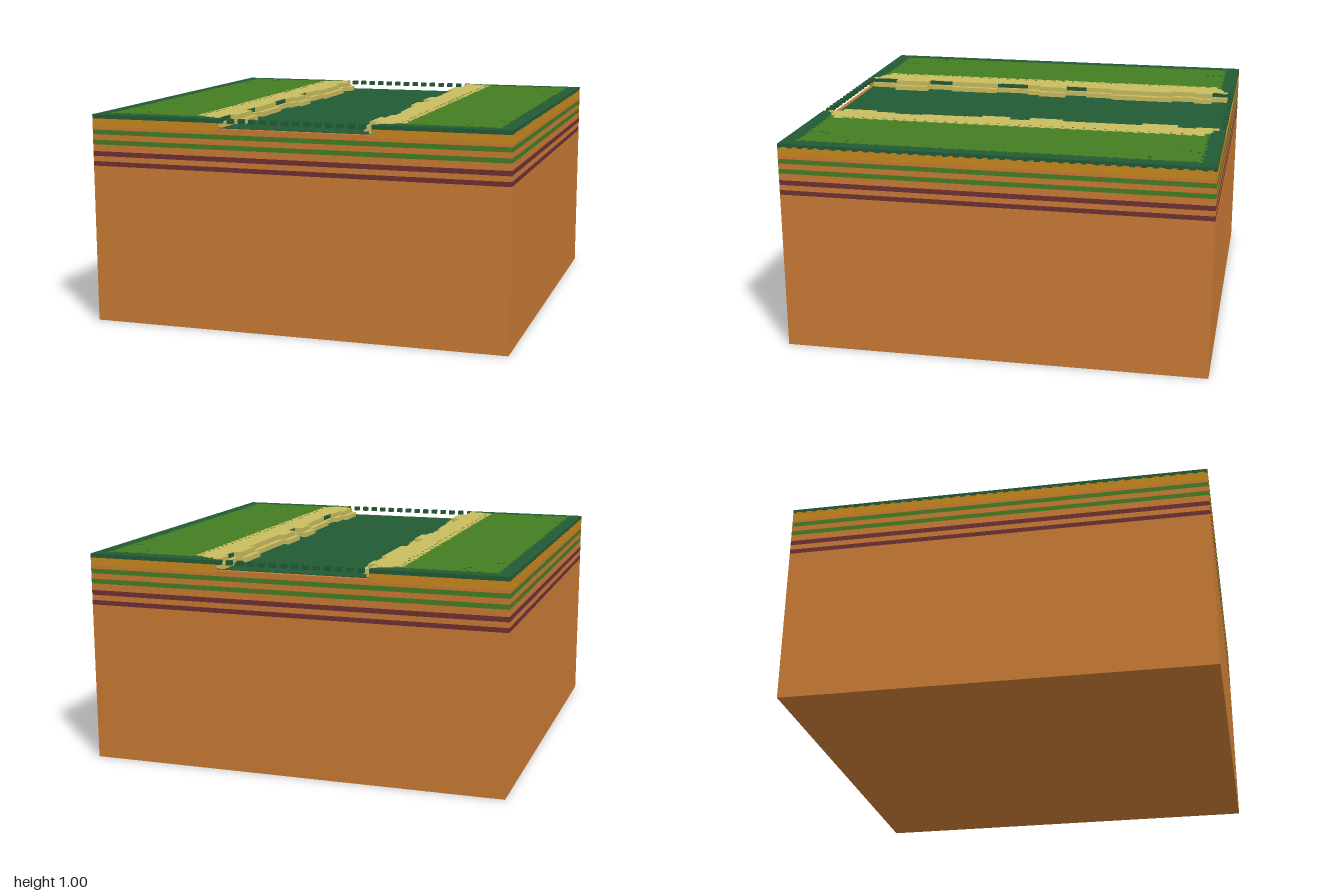
import * as THREE from 'three';

const material = (name, color) => {
  const m = new THREE.MeshStandardMaterial({ color });
  m.name = name;
  return m;
};

export function createModel() {
  const model = new THREE.Group();
  model.name = 'riverTerrainBlock';

  const soil = material('orange soil', 0xc87a34);
  const gold = material('golden topsoil', 0xc8871e);
  const maroon = material('maroon layer', 0x6e3034);
  const grass = material('grass green', 0x457d22);
  const dark = material('dark green', 0x225a35);
  const sand = material('sand', 0xc8bb5f);

  let seed = 7;
  const random = () => (seed = (seed * 16807) % 2147483647) / 2147483647;

  // Box given by its two extreme corners
  function box(name, mat, x0, x1, y0, y1, z0, z1, parent = model) {
    const mesh = new THREE.Mesh(
      new THREE.BoxGeometry(Math.abs(x1 - x0), y1 - y0, Math.abs(z1 - z0)), mat);
    mesh.position.set((x0 + x1) / 2, (y0 + y1) / 2, (z0 + z1) / 2);
    mesh.name = name;
    parent.add(mesh);
    return mesh;
  }

  // Thin plate whose outline steps in and out in small square teeth
  function raggedPlate(name, mat, corners, top, depth, parent) {
    const points = [];
    const cx = corners.reduce((s, c) => s + c[0], 0) / corners.length;
    corners.forEach(([x0, z0], i) => {
      const [x1, z1] = corners[(i + 1) % corners.length];
      const length = Math.hypot(x1 - x0, z1 - z0);
      const n = Math.max(1, Math.round(length / 0.025));
      // inward normal, checked against the plate's centre
      let nx = -(z1 - z0) / length, nz = (x1 - x0) / length;
      if (nx * (cx - (x0 + x1) / 2) - nz * (z0 + z1) / 2 < 0) { nx = -nx; nz = -nz; }
      for (let k = 0; k < n; k++) {
        const d = k === 0 || k === n - 1 ? 0 : (k % 2) * 0.009 + random() * 0.005;
        for (const t of [k / n, (k + 0.96) / n]) {
          points.push(new THREE.Vector2(
            x0 + (x1 - x0) * t + nx * d, z0 + (z1 - z0) * t + nz * d));
        }
      }
    });
    const geometry = new THREE.ExtrudeGeometry(new THREE.Shape(points), { depth, bevelEnabled: false });
    geometry.rotateX(Math.PI / 2).translate(0, top, 0);
    const mesh = new THREE.Mesh(geometry, mat);
    mesh.name = name;
    parent.add(mesh);
  }

  // Stacked soil layers: top height and material, from the bottom up
  let y = 0;
  [
    [0.753, soil], [0.775, maroon], [0.8, soil], [0.823, maroon], [0.855, soil],
    [0.877, grass], [0.903, soil], [0.925, grass], [0.94, soil],
  ].forEach(([top, mat], i) => {
    box('soilLayer' + (i + 1), mat, -1, 1, y, top, -1, 1);
    y = top;
  });

  // River bed with an exposed soil lip at both ends
  box('riverBed', soil, -0.37, 0.37, 0.94, 0.951, -1, 1);
  box('riverWater', dark, -0.38, 0.38, 0.945, 0.954, -0.975, 0.975);

  // Waterline of each bank: [end z, distance from the middle], from back to front
  const shoreLines = {
    '-1': [[-0.89, 0.35], [-0.8, 0.305], [-0.68, 0.33], [-0.36, 0.305], [-0.22, 0.33],
      [-0.11, 0.355], [0.03, 0.305], [0.1, 0.33], [0.27, 0.355], [0.52, 0.33],
      [0.65, 0.355], [0.83, 0.305], [0.97, 0.355]],
    '1': [[-0.86, 0.33], [-0.77, 0.35], [-0.6, 0.305], [-0.21, 0.335], [-0.05, 0.305],
      [0.05, 0.35], [0.19, 0.305], [0.27, 0.33], [0.49, 0.335], [0.63, 0.355],
      [0.73, 0.33], [0.9, 0.305], [0.97, 0.35]],
  };

  for (const side of [-1, 1]) {
    const bank = new THREE.Group();
    bank.name = side > 0 ? 'leftBank' : 'rightBank';
    model.add(bank);

    box('topsoil', gold, side * 0.37, side, 0.94, 0.978, -1, 1, bank);
    box('darkBorder', dark, side * 0.37, side, 0.978, 0.997, -1, 1, bank);

    raggedPlate('grassField', grass,
      [[0.46, -0.935], [0.94, -0.935], [0.94, 0.935], [0.46, 0.935]].map(([x, z]) => [side * x, z]),
      0.9985, 0.005, bank);
    raggedPlate('sandStrip', sand,
      [[0.37, -0.97], [0.44, -0.935], [0.505, -0.9], [0.505, 0.9], [0.44, 0.935], [0.37, 0.97]]
        .map(([x, z]) => [side * x, z]),
      1, 0.006, bank);

    // Two sandy steps leading down to the water
    let z = -0.97;
    for (const [end, edge] of shoreLines[side]) {
      box('lowerSandStep', sand, side * edge, side * 0.385, 0.945, 0.977, z, end, bank);
      box('upperSandStep', sand, side * Math.min(edge + 0.027, 0.378), side * 0.39, 0.97, 1, z, end, bank);
      z = end;
    }

    // Dark specks in the grass and grass specks along the sand
    for (const end of [-1, 1]) {
      for (const [x, sz] of [[0.78, 0.9], [0.76, 0.86], [0.78, 0.83], [0.9, 0.69], [0.88, 0.69], [0.84, 0.92]]) {
        box('darkSpeck', dark, side * x, side * (x + 0.012), 0.994, 0.9995, end * sz, end * (sz + 0.012), bank);
      }
    }
    for (let k = 0; k < 34; k++) {
      const sz = -0.86 + k * 0.052, x = 0.465 + random() * 0.015;
      box('grassSpeck', grass, side * x, side * (x + 0.01), 0.996, 1.001, sz, sz + 0.01, bank);
    }

    // Notched lower edge of the dark border
    for (let k = 0; k < 38; k++) {
      const nz = -0.985 + k * 0.0525;
      box('borderNotch', gold, side * 0.99, side * 1.0008, 0.976, 0.983, nz, nz + 0.026, bank);
    }
  }

  // Row of small floating blocks across each end of the river
  for (const end of [-1, 1]) {
    const row = new THREE.Group();
    row.name = end > 0 ? 'frontBlockRow' : 'backBlockRow';
    model.add(row);
    for (let k = 0; k < 14; k++) {
      const x = -0.37 + k * 0.0525 + (end > 0 ? 0 : 0.026);
      box('floatingBlock', dark, x, x + 0.027, 0.977, 0.998, end * 0.975, end, row);
    }
  }

  return model;
}
